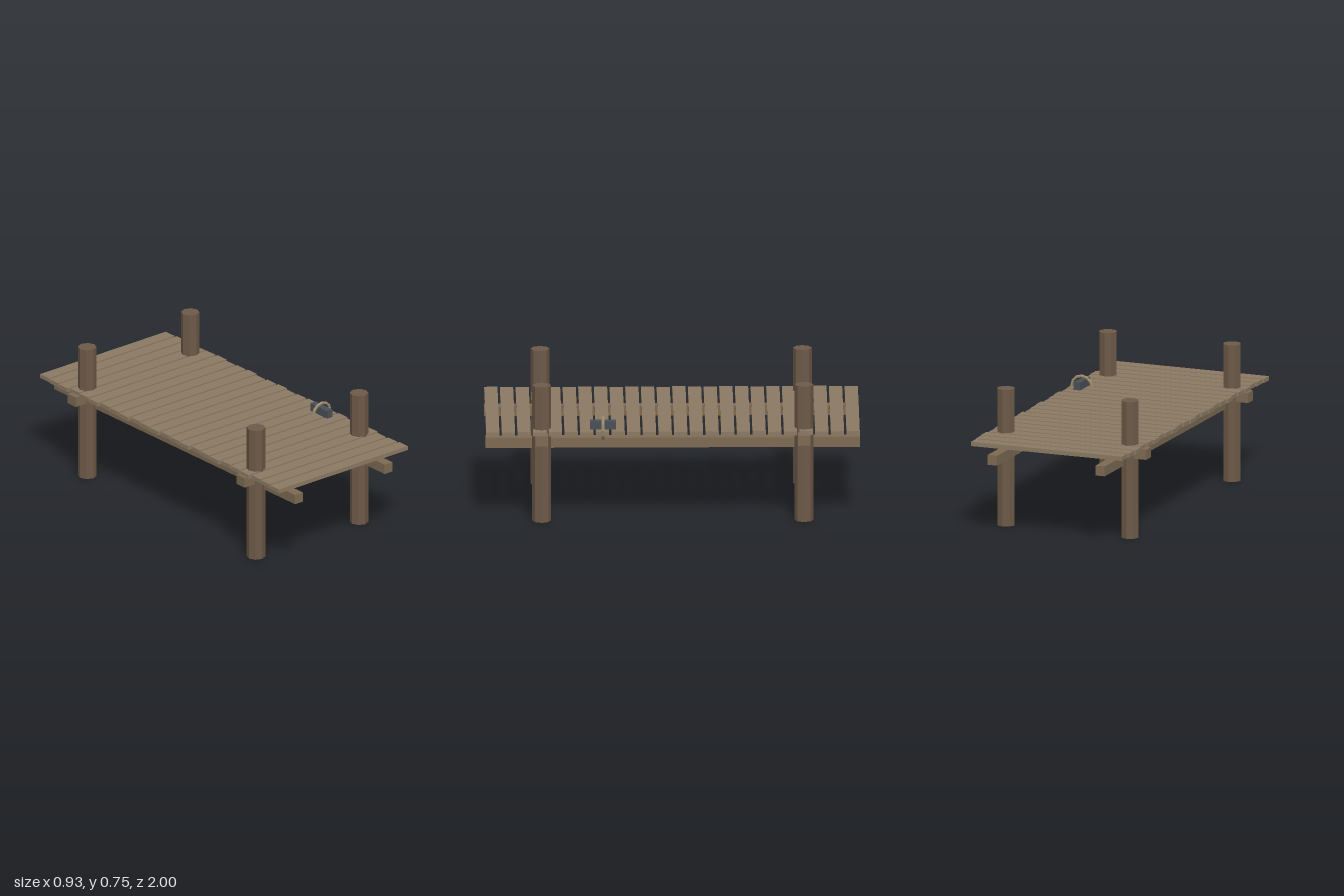
import * as THREE from 'three';

const material = (color) => new THREE.MeshStandardMaterial({ color, flatShading: true });

export function createModel() {
  const dock = new THREE.Group();
  dock.name = 'dock';
  const plankWood = material(0x8b7a63);
  const beamWood = material(0x7d6a52);
  const postWood = material(0x6d5a48);
  const iron = material(0x4a5057);
  const rope = material(0x9a8a6c);

  const add = (name, geometry, mat, x, y, z) => {
    const mesh = new THREE.Mesh(geometry, mat);
    mesh.name = name;
    mesh.position.set(x, y, z);
    dock.add(mesh);
    return mesh;
  };

  // Deck planks, in three repeating lengths
  const count = 24, pitch = 0.0836, depth = 0.071;
  for (let i = 0; i < count; i++) {
    const width = 0.875 + (i % 3) * 0.0115;
    add('plank', new THREE.BoxGeometry(width, 0.023, depth), plankWood,
      0, 0.5015, (i - (count - 1) / 2) * pitch);
  }

  // Long stringers under the deck
  for (const side of [-1, 1]) {
    add('stringer', new THREE.BoxGeometry(0.054, 0.054, 2), beamWood, side * 0.312, 0.424, 0);
  }

  // Cross beams and octagonal posts
  for (const end of [-1, 1]) {
    add('crossBeam', new THREE.BoxGeometry(0.934, 0.055, 0.067), beamWood, 0, 0.4675, end * 0.7);
    for (const side of [-1, 1]) {
      add('post', new THREE.CylinderGeometry(0.05, 0.05, 0.75, 8), postWood,
        side * 0.359, 0.375, end * 0.7);
    }
  }

  // Mooring cleat with a rope loop around it
  add('cleat', new THREE.BoxGeometry(0.037, 0.045, 0.14), iron, 0.372, 0.534, 0.373);
  add('ropeLoop', new THREE.TorusGeometry(0.059, 0.0085, 6, 12), rope, 0.373, 0.517, 0.373);

  return dock;
}
